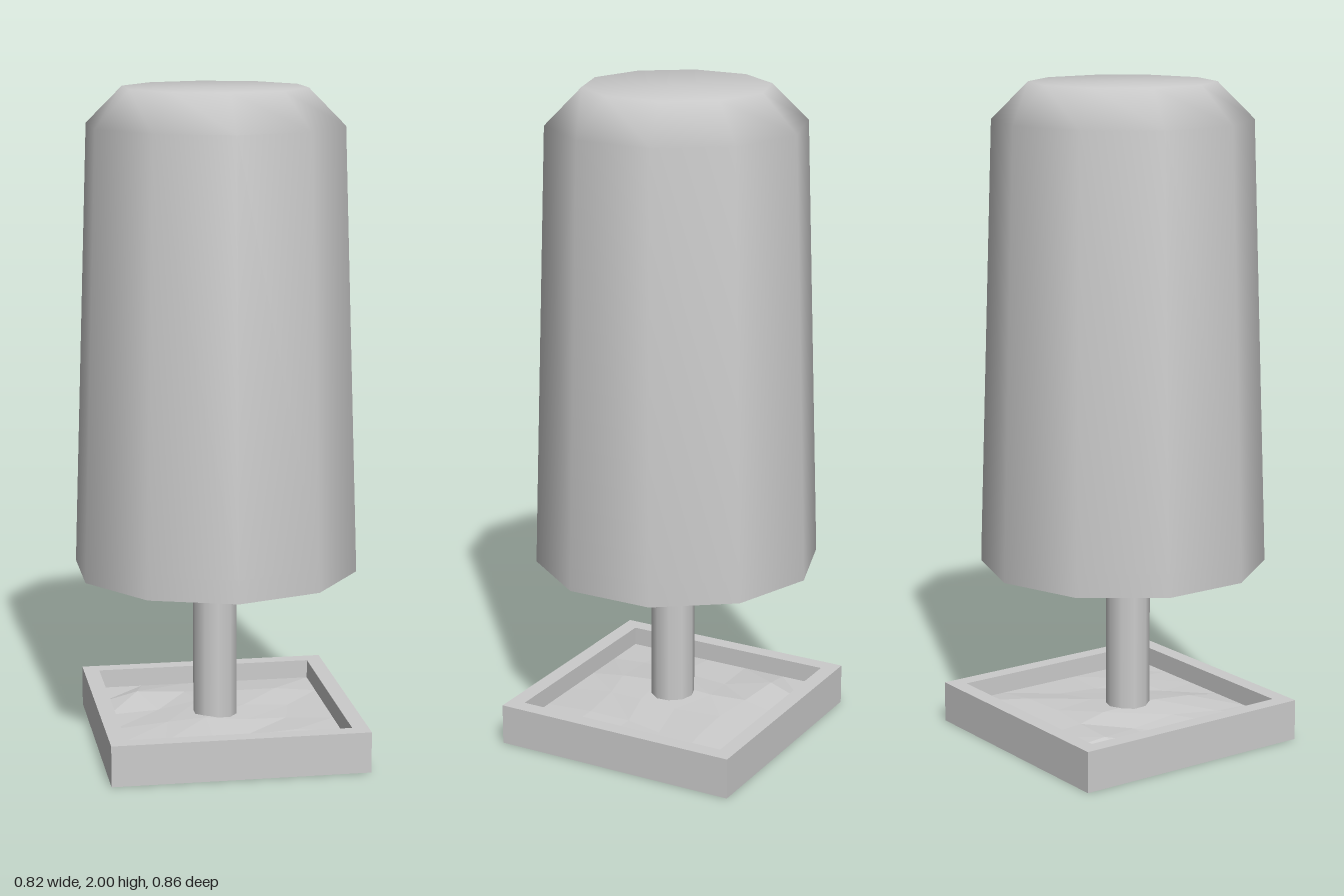
import * as THREE from 'three';

const smooth = new THREE.MeshStandardMaterial({ color: 0xcccccc });
const faceted = new THREE.MeshStandardMaterial({ color: 0xcccccc, flatShading: true, side: THREE.DoubleSide });

function part(name, geometry, material, x = 0, y = 0, z = 0) {
  const mesh = new THREE.Mesh(geometry, material);
  mesh.name = name;
  mesh.position.set(x, y, z);
  return mesh;
}

const lathe = (points, sides, start = 0) =>
  new THREE.LatheGeometry(points.map(([r, y]) => new THREE.Vector2(r, y)), sides, start);

// Uneven ground: a small grid with seeded bumps, rising gently to the middle
function soilGeometry(size) {
  let seed = 7;
  const rand = () => (seed = (seed * 16807) % 2147483647) / 2147483647 - 0.5;
  const geometry = new THREE.PlaneGeometry(size, size, 5, 5).rotateX(-Math.PI / 2);
  const p = geometry.attributes.position;
  for (let i = 0; i < p.count; i++) {
    const x = p.getX(i), z = p.getZ(i);
    const edge = Math.max(Math.abs(x), Math.abs(z)) / (size / 2);
    if (edge > 0.99) continue;
    p.setXYZ(i, x + rand() * 0.06, 0.02 * (1 - edge) + rand() * 0.025 + 0.004, z + rand() * 0.06);
  }
  return geometry;
}

export function createModel() {
  const group = new THREE.Group();
  const sides = 10;

  // Tapered crown with a bevelled top, and its flat underside
  const crown = new THREE.Group();
  crown.name = 'crown';
  crown.add(part('foliage', lathe(
    [[0.432, 0.55], [0.43, 0.62], [0.387, 1.89], [0.277, 2], [0, 2]], sides), smooth));
  crown.add(part('foliageUnderside', lathe([[0, 0.55], [0.432, 0.55]], sides), smooth));
  group.add(crown);

  // Trunk
  group.add(part('trunk', new THREE.CylinderGeometry(0.067, 0.067, 0.51, sides), smooth, -0.003, 0.315, 0.017));

  // Square planter: outer wall, flat rim and inner wall, open underneath
  const outer = 0.388 * Math.SQRT2, inner = 0.339 * Math.SQRT2;
  const planter = new THREE.Group();
  planter.name = 'planter';
  planter.position.set(0.02, 0, -0.004);
  planter.add(part('planterWalls', lathe(
    [[outer, 0], [outer, 0.125], [inner, 0.125], [inner, 0.065]], 4, Math.PI / 4), faceted));
  planter.add(part('soil', soilGeometry(0.678), faceted, 0, 0.067, 0));
  group.add(planter);

  return group;
}
